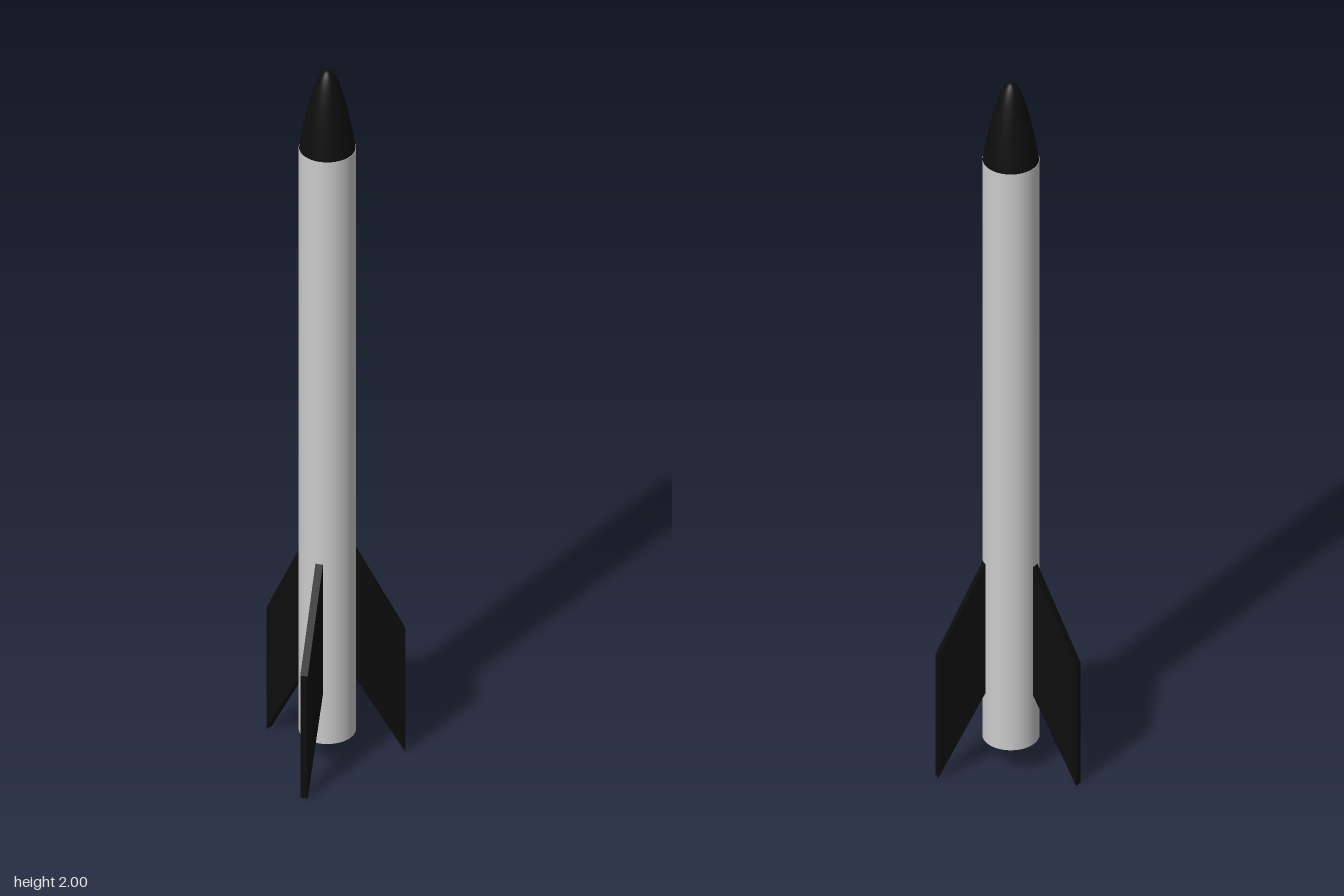
import * as THREE from 'three';

const R = 0.0705;          // body radius
const BASE = 0.08;         // bottom of the body tube
const SHOULDER = 1.775;    // where the nose begins
const FIN_THICKNESS = 0.019;

export function createModel() {
  const rocket = new THREE.Group();
  rocket.name = 'rocket';
  const grey = new THREE.MeshStandardMaterial({ color: 0xcccccc });
  const black = new THREE.MeshStandardMaterial({ color: 0x0d0d0d });

  const add = (name, geometry, material) => {
    const mesh = new THREE.Mesh(geometry, material);
    mesh.name = name;
    rocket.add(mesh);
    return mesh;
  };

  // Body tube with closed ends
  const tube = new THREE.CylinderGeometry(R, R, SHOULDER - BASE, 64);
  add('bodyTube', tube, grey).position.y = (SHOULDER + BASE) / 2;

  // Parabolic nose cone, points packed toward the rounded tip
  const profile = [];
  const steps = 24;
  for (let i = 0; i <= steps; i++) {
    const s = 1 - i / steps;
    profile.push(new THREE.Vector2((R - 0.001) * s, 2 - (2 - SHOULDER) * s * s));
  }
  add('noseCone', new THREE.LatheGeometry(profile, 64), black);

  // Swept fins: x is the distance from the body axis
  const makeFin = (reach) => {
    const outline = new THREE.Shape([
      new THREE.Vector2(0.069, 0.225),
      new THREE.Vector2(reach, 0),
      new THREE.Vector2(reach, 0.355),
      new THREE.Vector2(0.069, 0.605),
    ]);
    const geometry = new THREE.ExtrudeGeometry(outline, { depth: FIN_THICKNESS, bevelEnabled: false });
    return geometry.translate(0, 0, -FIN_THICKNESS / 2);
  };
  const fins = [
    { name: 'leftFin', angle: 0, reach: 0.193 },
    { name: 'backRightFin', angle: 129, reach: 0.194 },
    { name: 'frontRightFin', angle: -115.3, reach: 0.2 },
  ];
  for (const { name, angle, reach } of fins) {
    add(name, makeFin(reach), black).rotation.y = THREE.MathUtils.degToRad(angle);
  }

  // The uneven fins shift the body axis off the centre
  rocket.position.set(-0.033, 0, -0.017);
  const model = new THREE.Group();
  model.name = 'modelRocket';
  model.add(rocket);
  return model;
}
